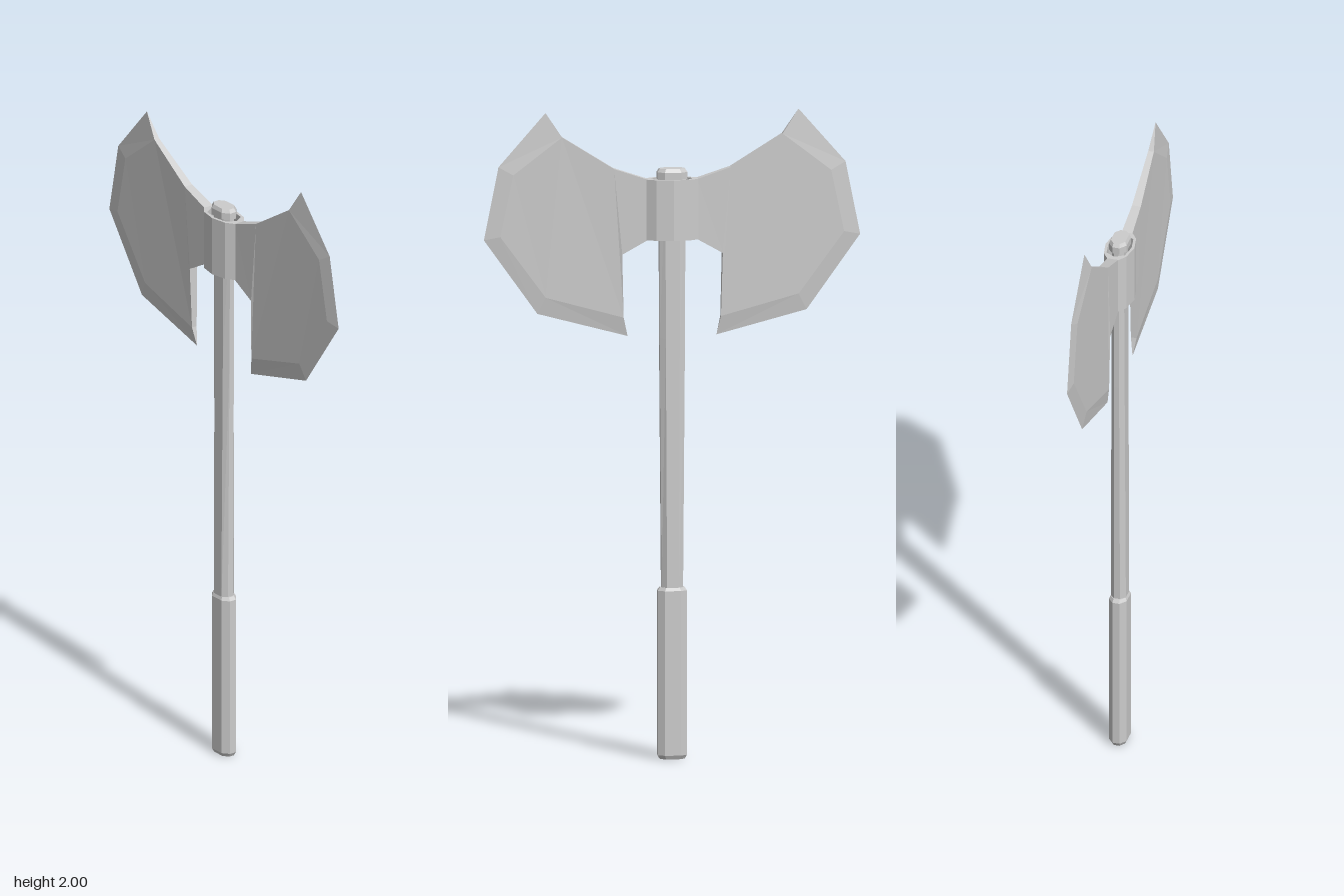
import * as THREE from 'three';

const material = new THREE.MeshStandardMaterial({ color: 0xcccccc, flatShading: true });

function mesh(name, geometry) {
  const m = new THREE.Mesh(geometry, material);
  m.name = name;
  return m;
}

function fromTriangles(positions) {
  const g = new THREE.BufferGeometry();
  g.setAttribute('position', new THREE.Float32BufferAttribute(positions, 3));
  g.computeVertexNormals();
  return g;
}

// Stretched octagon lofted through sections [y, half width, half depth], capped at both ends
const OCTAGON = [[0.4, 1], [1, 0.55], [1, -0.55], [0.4, -1], [-0.4, -1], [-1, -0.55], [-1, 0.55], [-0.4, 1]];
function loft(sections) {
  const out = [];
  const rings = sections.map(([y, hx, hz]) => OCTAGON.map(([x, z]) => [x * hx, y, z * hz]));
  const last = rings.length - 1;
  for (let i = 0; i < 8; i++) {
    const j = (i + 1) % 8;
    for (let k = 0; k < last; k++) {
      const a = rings[k][i], b = rings[k][j], c = rings[k + 1][j], d = rings[k + 1][i];
      out.push(...a, ...b, ...c, ...a, ...c, ...d);
    }
    out.push(0, sections[0][0], 0, ...rings[0][j], ...rings[0][i]);
    out.push(0, sections[last][0], 0, ...rings[last][i], ...rings[last][j]);
  }
  return fromTriangles(out);
}

// Blade pointing along +z; points are [half thickness, y, z]
function bladeGeometry() {
  const top = [[0.017, 1.79, 0.075], [0.014, 1.825, 0.18], [0.009, 1.925, 0.34]];
  const bottom = [[0.017, 1.605, 0.075], [0.014, 1.56, 0.155], [0.009, 1.365, 0.15]];
  const ridge = [top[2], [0.007, 1.81, 0.49], [0.007, 1.62, 0.53], [0.007, 1.43, 0.39], bottom[2]];
  const edge = [[0, 2, 0.39], [0, 1.835, 0.535], [0, 1.61, 0.58], [0, 1.38, 0.415], [0, 1.307, 0.137]];
  const out = [];
  const flip = ([x, y, z]) => [-x, y, z];
  const tri = (a, b, c) => out.push(...a, ...b, ...c);
  const quad = (a, b, c, d) => { tri(a, b, c); tri(a, c, d); };
  // Both cheeks at once
  const triPair = (a, b, c) => { tri(a, b, c); tri(flip(a), flip(c), flip(b)); };
  const quadPair = (a, b, c, d) => { triPair(a, b, c); triPair(a, c, d); };

  for (let i = 0; i < 2; i++) {
    quadPair(top[i], top[i + 1], bottom[i + 1], bottom[i]);
    // Upper and lower rims
    quad(top[i + 1], top[i], flip(top[i]), flip(top[i + 1]));
    quad(bottom[i], bottom[i + 1], flip(bottom[i + 1]), flip(bottom[i]));
  }
  quadPair(ridge[0], ridge[1], ridge[3], ridge[4]);
  triPair(ridge[1], ridge[2], ridge[3]);
  // Sharpened bevel
  for (let i = 0; i < 4; i++) quadPair(ridge[i], edge[i], edge[i + 1], ridge[i + 1]);
  tri(edge[0], top[2], flip(top[2]));
  tri(bottom[2], edge[4], flip(bottom[2]));
  return fromTriangles(out);
}

// Closed outline from one quadrant of [x, z] points, running from the x axis to the z axis
function mirroredOutline(quadrant) {
  const half = [...quadrant, ...quadrant.filter(([x]) => x > 0).reverse().map(([x, z]) => [-x, z])];
  const rest = half.filter(([, z]) => z > 0).reverse().map(([x, z]) => [x, -z]);
  return [...half, ...rest].map(([x, z]) => new THREE.Vector2(x, z));
}

export function createModel() {
  const model = new THREE.Group();
  model.name = 'doubleAxe';

  // Handle: thick grip, slender shaft, small cap
  const handle = new THREE.Group();
  handle.name = 'handle';
  handle.add(
    mesh('grip', loft([[0, 0.022, 0.038], [0.012, 0.028, 0.045], [0.52, 0.028, 0.045], [0.53, 0.024, 0.038]])),
    mesh('shaft', loft([[0.52, 0.024, 0.033], [1.3, 0.021, 0.039], [1.8, 0.019, 0.041]])),
    mesh('cap', loft([[1.79, 0.028, 0.046], [1.812, 0.028, 0.046], [1.823, 0.023, 0.039]])),
  );
  model.add(handle);

  // Socket: faceted collar around the shaft
  const collar = new THREE.Shape(mirroredOutline([[0.046, 0], [0.036, 0.053], [0.017, 0.08]]));
  collar.holes.push(new THREE.Path(mirroredOutline([[0.037, 0], [0.029, 0.047], [0, 0.064]])));
  const socket = mesh('socket', new THREE.ExtrudeGeometry(collar, { depth: 0.187, bevelEnabled: false }));
  socket.rotation.x = -Math.PI / 2;
  socket.position.y = 1.604;
  model.add(socket);

  // Two matching blades, front and back
  const blade = bladeGeometry();
  ['frontBlade', 'backBlade'].forEach((name, i) => {
    const b = mesh(name, blade);
    b.rotation.y = i * Math.PI;
    model.add(b);
  });
  return model;
}
